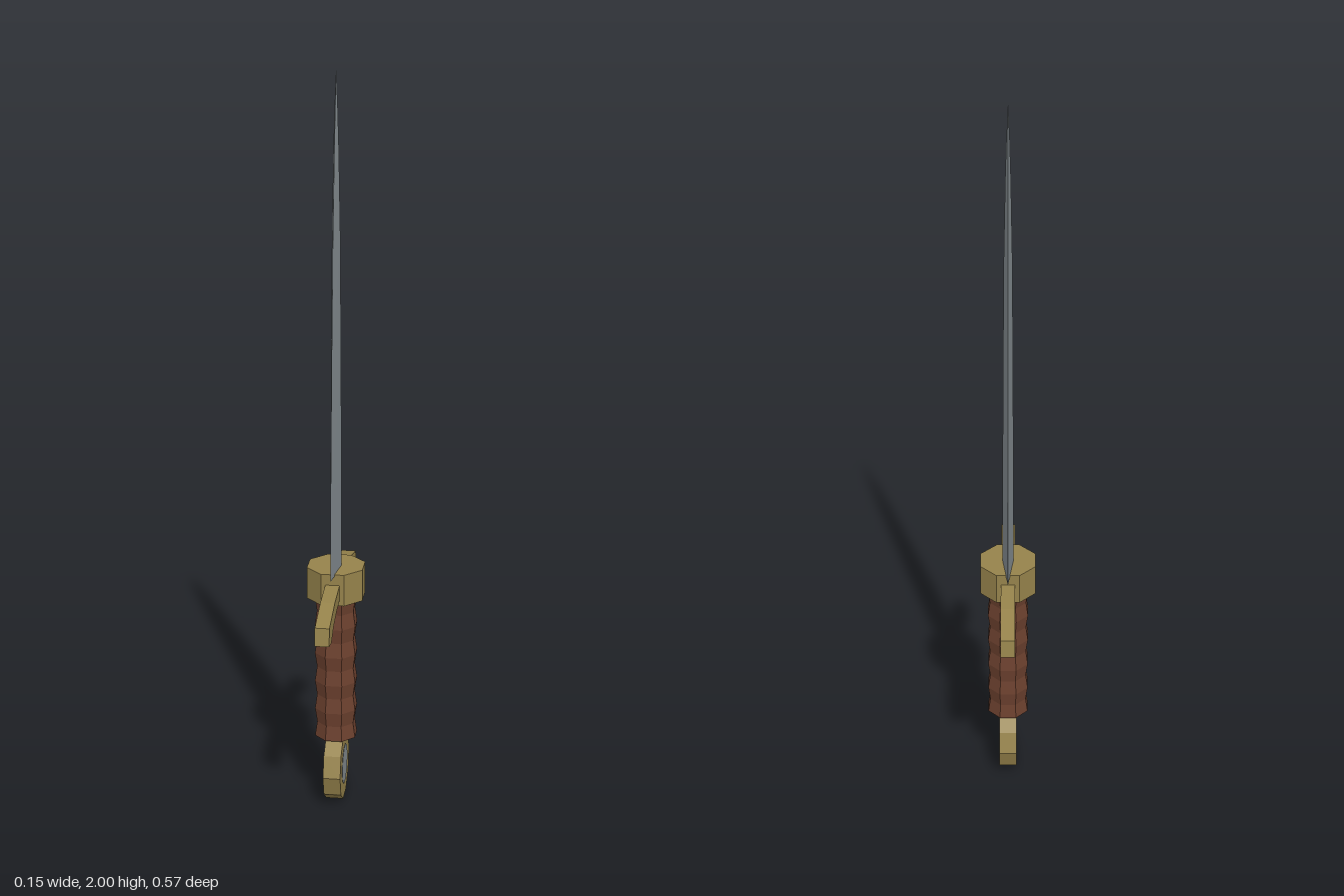
import * as THREE from 'three';

const flat = (name, color) => {
  const m = new THREE.MeshStandardMaterial({ color, flatShading: true });
  m.name = name;
  return m;
};

// Loft of diamond cross-sections: [height, half width in z, half thickness in x]
function diamondLoft(sections) {
  const pos = [], index = [];
  for (const [y, w, t] of sections) pos.push(t, y, 0, 0, y, w, -t, y, 0, 0, y, -w);
  for (let s = 0; s < sections.length - 1; s++) {
    for (let i = 0; i < 4; i++) {
      const a = s * 4 + i, b = s * 4 + (i + 1) % 4;
      index.push(a, a + 4, b, b, a + 4, b + 4);
    }
  }
  index.push(0, 1, 2, 0, 2, 3);
  const g = new THREE.BufferGeometry();
  g.setAttribute('position', new THREE.Float32BufferAttribute(pos, 3));
  g.setIndex(index);
  g.computeVertexNormals();
  return g;
}

export function createModel() {
  const steel = flat('steel', 0x848c90);
  const brass = flat('brass', 0x95824b);
  const leather = flat('leather', 0x6b402e);

  const model = new THREE.Group();
  model.name = 'dagger';
  const add = (name, geometry, material) => {
    const mesh = new THREE.Mesh(geometry, material);
    mesh.name = name;
    model.add(mesh);
    return mesh;
  };

  // Blade, widest just above the guard and curving to the point
  add('blade', diamondLoft([
    [0.675, 0.112, 0.015], [0.92, 0.108, 0.0145], [1.24, 0.09, 0.013],
    [1.57, 0.064, 0.011], [1.8, 0.035, 0.007], [1.91, 0.017, 0.004], [2.0, 0.0005, 0.0003],
  ]), steel);

  // Octagonal guard block
  const block = new THREE.CylinderGeometry(0.0805, 0.0805, 0.088, 8);
  block.rotateY(Math.PI / 8);
  block.translate(0, 0.636, 0);
  add('guardBlock', block, brass);

  // Drooping guard arms, one to each side along z
  const outline = [
    [0.04, 0.608], [0.075, 0.608], [0.13, 0.603], [0.19, 0.586], [0.239, 0.557],
    [0.284, 0.565], [0.277, 0.613], [0.17, 0.64], [0.075, 0.65], [0.04, 0.65],
  ].map(([z, y]) => new THREE.Vector2(z, y));
  const arm = new THREE.ExtrudeGeometry(new THREE.Shape(outline), { depth: 0.038, bevelEnabled: false });
  arm.translate(0, 0, -0.019);
  arm.rotateY(-Math.PI / 2);
  add('guardArmFront', arm, brass);
  add('guardArmBack', arm, brass).rotation.y = Math.PI;

  // Ribbed octagonal grip
  const rings = 10, bottom = 0.185, top = 0.594;
  const profile = [new THREE.Vector2(0, bottom)];
  for (let i = 0; i <= rings; i++) {
    profile.push(new THREE.Vector2(i % 2 ? 0.053 : 0.059, bottom + (top - bottom) * i / rings));
  }
  profile.push(new THREE.Vector2(0, top));
  add('grip', new THREE.LatheGeometry(profile, 8, Math.PI / 8), leather);

  // Ten-sided disc pommel with an inlay on both faces
  const disc = (radius, width, sides, x = 0) => {
    const g = new THREE.CylinderGeometry(radius, radius, width, sides);
    g.rotateZ(Math.PI / 2);
    g.translate(x, 0.0935, 0);
    return g;
  };
  add('pommel', disc(0.0975, 0.047, 10), brass);
  for (const side of [1, -1]) {
    add(side > 0 ? 'pommelInlayLeft' : 'pommelInlayRight', disc(0.056, 0.004, 10, side * 0.0225), steel);
  }

  return model;
}
